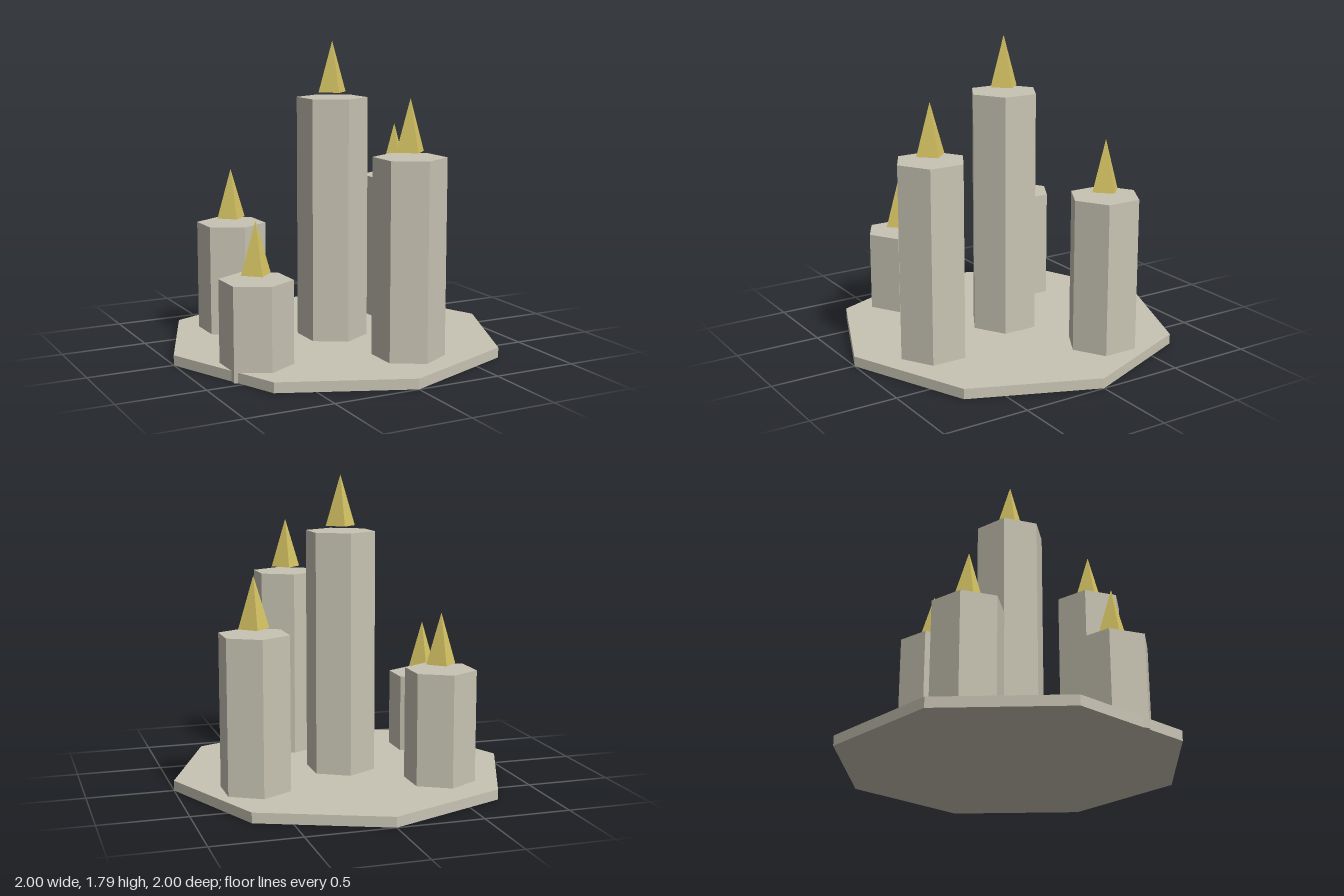
import * as THREE from 'three';

const U = 1 / 17; // base grid unit

export function createModel() {
  const group = new THREE.Group();
  const stone = new THREE.MeshStandardMaterial({ color: 0xc8c4b4, flatShading: true });
  stone.name = 'pale stone';
  const gold = new THREE.MeshStandardMaterial({ color: 0xd4c262, flatShading: true });
  gold.name = 'gold';

  // Adds an upright faceted solid standing at height y
  const add = (name, rTop, rBottom, height, sides, material, x, y, z) => {
    const geometry = new THREE.CylinderGeometry(rTop * U, rBottom * U, height * U, sides);
    const mesh = new THREE.Mesh(geometry, material);
    mesh.name = name;
    mesh.position.set(x * U, (y + height / 2) * U, z * U);
    group.add(mesh);
  };

  // Octagonal base plate
  add('basePlate', 17, 17, 1, 8, stone, 0, 0, 0);

  // Hexagonal columns, each with a pyramid hovering just above: x, z, height
  const columns = [
    [0, 0, 25],
    [3, 10, 20],
    [10, -5, 16],
    [-8, -7, 12],
    [-11, 6, 9],
  ];
  columns.forEach(([x, z, height], i) => {
    add(`column${i + 1}`, 3.5, 3.5, height, 6, stone, x, 0, z);
    add(`spire${i + 1}`, 0, 1.5, 5, 4, gold, x, height + 0.5, z);
  });

  return group;
}
